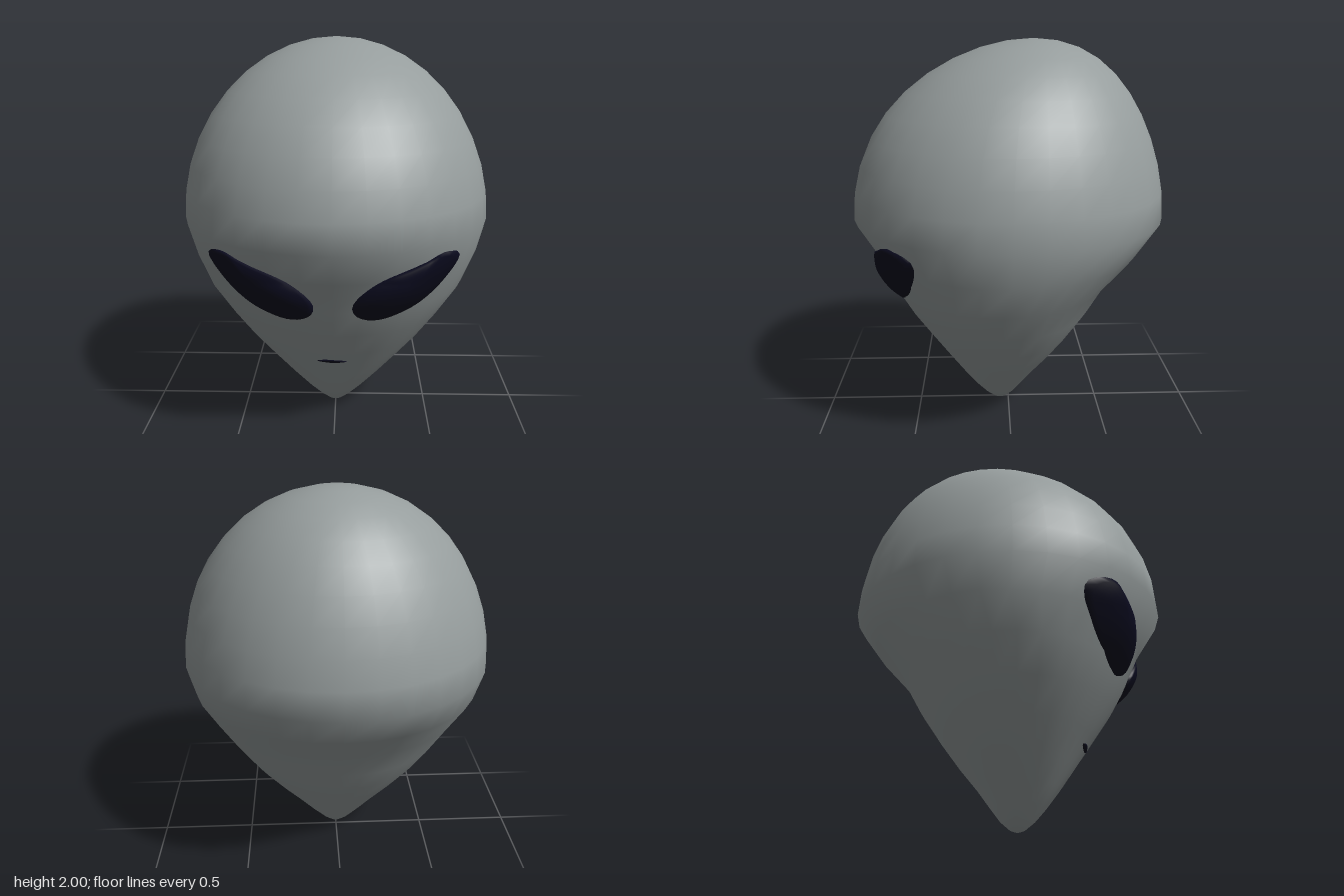
import * as THREE from 'three';
import { mergeVertices } from 'three/addons/utils/BufferGeometryUtils.js';

const SIDES = 32;

// Head cross-sections from chin to crown: [y, half width, front z, back z]
const SECTIONS = [
  [0, 0, 0.048, 0.048],
  [0.0135, 0.04, 0.085, 0.01],
  [0.054, 0.088, 0.135, -0.037],
  [0.12, 0.157, 0.192, -0.087],
  [0.21, 0.242, 0.26, -0.153],
  [0.322, 0.345, 0.338, -0.245],
  [0.453, 0.46, 0.428, -0.342],
  [0.6, 0.567, 0.53, -0.442],
  [0.76, 0.673, 0.62, -0.532],
  [0.928, 0.75, 0.695, -0.685],
];
// The skull is half an ellipsoid whose top leans backwards
for (let i = 0; i <= 10; i++) {
  const s = Math.sin((i * Math.PI) / 20);
  const c = i === 10 ? 0 : Math.cos((i * Math.PI) / 20);
  const lean = -0.127 * s ** 3;
  SECTIONS.push([1.1 + 0.9 * s, 0.79 * c, lean + 0.81 * c, lean - 0.81 * c]);
}

// Depth of the front of the head at (x, y)
function headZ(x, y) {
  const i = Math.max(1, SECTIONS.findIndex((s) => s[0] >= y));
  const a = SECTIONS[i - 1], b = SECTIONS[i];
  const t = (y - a[0]) / (b[0] - a[0]);
  const [, w, front, back] = a.map((v, k) => v + (b[k] - v) * t);
  return (front + back) / 2 + ((front - back) / 2) * Math.sqrt(Math.max(0, 1 - (x / w) ** 2));
}

function smoothGeometry(positions, index) {
  const g = new THREE.BufferGeometry();
  g.setAttribute('position', new THREE.Float32BufferAttribute(positions, 3));
  g.setIndex(index);
  const merged = mergeVertices(g, 1e-5);
  merged.computeVertexNormals();
  return merged;
}

function headGeometry() {
  const pos = [], index = [];
  SECTIONS.forEach(([y, w, front, back], r) => {
    for (let i = 0; i < SIDES; i++) {
      const a = (i / SIDES) * Math.PI * 2;
      pos.push(w * Math.sin(a), y, (front + back) / 2 + ((front - back) / 2) * Math.cos(a));
      if (r === 0) continue;
      const j = (i + 1) % SIDES;
      const lo = (r - 1) * SIDES, hi = r * SIDES;
      if (r > 1) index.push(lo + i, lo + j, hi + j);
      if (w > 0) index.push(r > 1 ? lo + i : lo, hi + j, hi + i);
    }
  });
  return smoothGeometry(pos, index);
}

// Domed patch lying on the face, outlined by counter-clockwise [x, y] points
function facePatch(points, base, bulge, steps = 48, rings = 10) {
  const curve = new THREE.CatmullRomCurve3(points.map(([x, y]) => new THREE.Vector3(x, y, 0)), true);
  const outline = curve.getSpacedPoints(steps).slice(0, steps);
  const centre = outline.reduce((s, p) => s.add(p), new THREE.Vector3()).divideScalar(steps);
  const pos = [], index = [];
  for (let r = 0; r <= rings + 1; r++) {
    const f = Math.min(r / rings, 1);
    const skirt = r > rings;
    for (let i = 0; i < steps; i++) {
      const p = centre.clone().lerp(outline[i], f);
      const lift = skirt ? -0.03 : base + bulge * (1 - f * f);
      pos.push(p.x, p.y, headZ(p.x, p.y) + lift);
      if (r === 0) continue;
      const j = (i + 1) % steps;
      const lo = (r - 1) * steps, hi = r * steps;
      index.push(lo + i, hi + i, hi + j);
      if (r > 1) index.push(lo + i, hi + j, lo + j);
    }
  }
  return smoothGeometry(pos, index);
}

// Outline of the left eye (+x), counter-clockwise from its outer end
const EYE = [
  [0.598, 1.01], [0.572, 1.042], [0.508, 1.053], [0.439, 1.026], [0.36, 0.995],
  [0.27, 0.963], [0.175, 0.905], [0.116, 0.847], [0.09, 0.794], [0.106, 0.746],
  [0.159, 0.714], [0.228, 0.709], [0.317, 0.735], [0.413, 0.783], [0.487, 0.841],
  [0.545, 0.905], [0.587, 0.968],
];

const MOUTH = [
  [-0.085, 0.402], [-0.05, 0.394], [0, 0.389], [0.035, 0.392],
  [0.063, 0.398], [0.03, 0.405], [-0.01, 0.41], [-0.05, 0.41],
];

export function createModel() {
  const skin = new THREE.MeshStandardMaterial({ color: 0x969d9d });
  skin.name = 'grey skin';
  const dark = new THREE.MeshStandardMaterial({ color: 0x0a0a1e });
  dark.name = 'dark navy';

  const model = new THREE.Group();
  model.name = 'alienHead';
  const add = (name, geometry, material) => {
    const mesh = new THREE.Mesh(geometry, material);
    mesh.name = name;
    model.add(mesh);
  };

  add('head', headGeometry(), skin);
  add('leftEye', facePatch(EYE, 0.008, 0.05), dark);
  // Mirroring flips the winding, so the point order is reversed
  add('rightEye', facePatch(EYE.map(([x, y]) => [-x, y]).reverse(), 0.008, 0.05), dark);
  add('mouth', facePatch(MOUTH, 0.005, 0.002, 24, 3), dark);
  return model;
}
